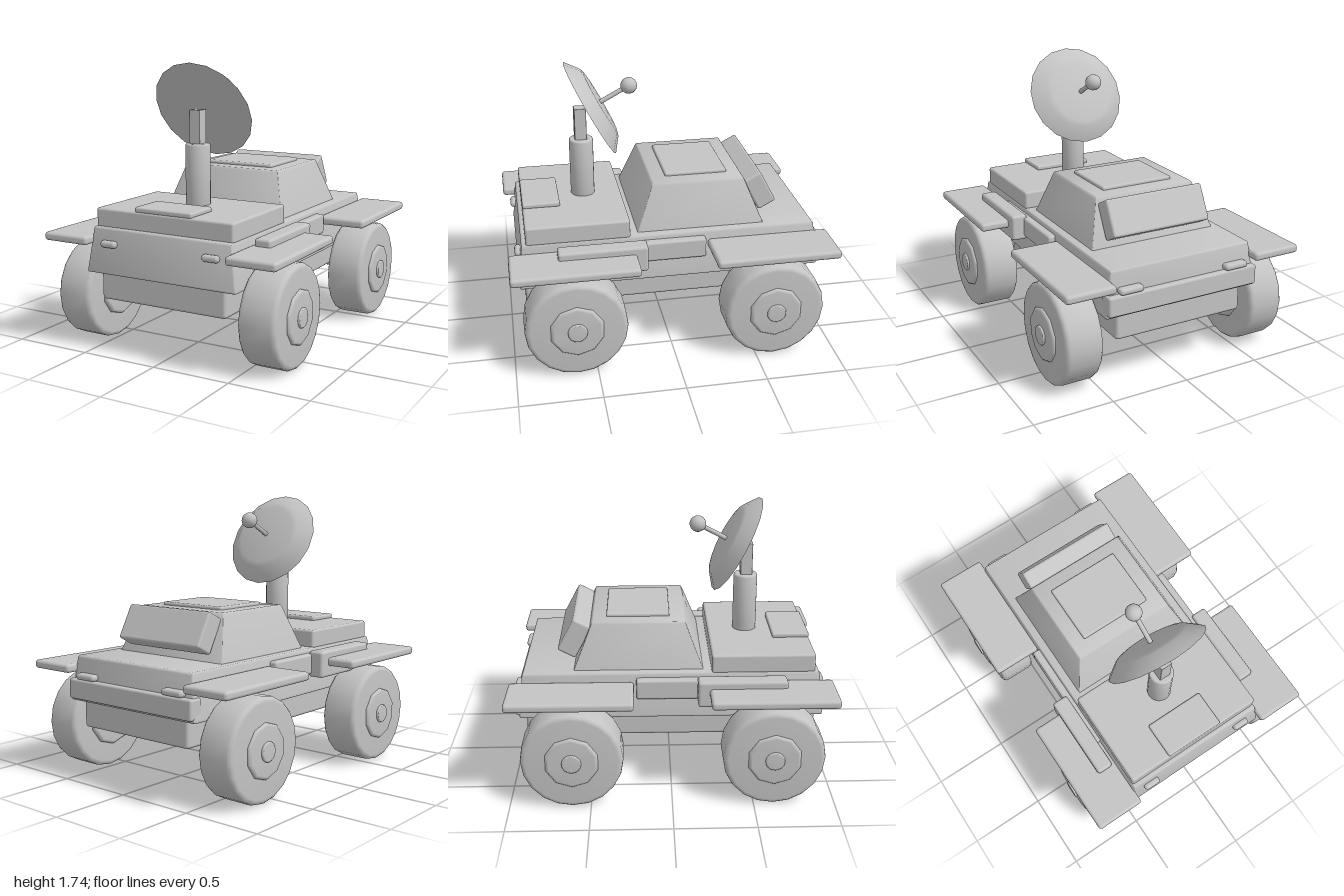
import * as THREE from 'three';
import { toCreasedNormals } from 'three/addons/utils/BufferGeometryUtils.js';
import { RoundedBoxGeometry } from 'three/addons/geometries/RoundedBoxGeometry.js';

const grey = new THREE.MeshStandardMaterial({ color: 0xc4c4c4 });
grey.name = 'plain grey';

export function createModel() {
  const model = new THREE.Group();
  model.name = 'rover';

  const add = (name, geometry, parent = model) => {
    const mesh = new THREE.Mesh(geometry, grey);
    mesh.name = name;
    parent.add(mesh);
    return mesh;
  };

  // Rounded block given by its ranges along x, y and z
  const block = (name, [x0, x1], [y0, y1], [z0, z1], r = 0.015) => {
    const mesh = add(name, new RoundedBoxGeometry(x1 - x0, y1 - y0, z1 - z0, 2, r));
    mesh.position.set((x0 + x1) / 2, (y0 + y1) / 2, (z0 + z1) / 2);
    return mesh;
  };

  // Rounded block whose half width and z range change from bottom to top
  const tapered = (name, [y0, y1], bottom, top, r) => {
    const geo = new RoundedBoxGeometry(2, y1 - y0, 2, 2, r);
    const p = geo.attributes.position;
    for (let i = 0; i < p.count; i++) {
      const t = p.getY(i) / (y1 - y0) + 0.5;
      const [w, back, front] = bottom.map((b, k) => THREE.MathUtils.lerp(b, top[k], t));
      p.setX(i, p.getX(i) * w);
      p.setZ(i, (back + front) / 2 + p.getZ(i) * (front - back) / 2);
    }
    add(name, toCreasedNormals(geo, 0.6)).position.y = (y0 + y1) / 2;
  };

  // Closed round part along y with softened rims
  const roundDisc = (radius, y0, y1, bevel, sides, phase = 0) => {
    const pts = [new THREE.Vector2(0, y0), new THREE.Vector2(radius - bevel - 0.003, y0)];
    for (let side = 0; side < 2; side++) {
      for (let i = 0; i <= 3; i++) {
        const a = -Math.PI / 2 + side * Math.PI / 2 + (i / 3) * Math.PI / 2;
        pts.push(new THREE.Vector2(radius - bevel + Math.cos(a) * bevel,
          (side ? y1 - bevel : y0 + bevel) + Math.sin(a) * bevel));
      }
    }
    pts.push(new THREE.Vector2(radius - bevel - 0.003, y1), new THREE.Vector2(0, y1));
    return toCreasedNormals(new THREE.LatheGeometry(pts, sides, phase), 0.7);
  };

  // Body
  block('underbody', [-0.43, 0.43], [0.33, 0.51], [-0.905, 0.905], 0.02);
  tapered('hull', [0.495, 0.775], [0.512, -0.94, 0.94], [0.472, -0.913, 0.913], 0.015);
  block('frontDeck', [-0.47, 0.47], [0.765, 0.885], [0.25, 0.888]);
  block('frontDeckPlate', [-0.195, 0.195], [0.88, 0.913], [0.652, 0.887], 0.012);
  tapered('cabin', [0.76, 1.058], [0.425, -0.605, 0.205], [0.335, -0.485, 0.09], 0.02);
  block('roofHatch', [-0.24, 0.24], [1.04, 1.078], [-0.398, -0.005], 0.012);
  const pack = block('rearPack', [-0.33, 0.33], [0.83, 1.06], [-0.66, -0.535], 0.015);
  pack.position.set(0, 0.947, -0.596);
  pack.rotation.x = 0.49;
  block('rearBumper', [-0.505, 0.505], [0.51, 0.635], [-0.962, -0.87], 0.015);

  for (const s of [-1, 1]) {
    const span = (a, b) => (s > 0 ? [a, b] : [-b, -a]);
    block('frontLamp', span(0.295, 0.405), [0.66, 0.703], [0.91, 0.955], 0.02);
    block('rearLamp', span(0.28, 0.435), [0.635, 0.675], [-0.97, -0.91], 0.018);
    block('sideLocker', span(0.5, 0.605), [0.6, 0.768], [0.16, 0.705], 0.018);
    block('sidePanel', span(0.44, 0.525), [0.62, 0.747], [-0.215, 0.53]);
    block('frontFender', span(0.472, 0.788), [0.67, 0.723], [0.23, 0.998], 0.02);
    block('rearFender', span(0.472, 0.788), [0.67, 0.723], [-0.998, -0.23], 0.02);
  }

  // Wheels and axles
  for (const z of [0.62, -0.61]) {
    block('axle', [-0.5, 0.5], [0.312, 0.415], [z - 0.05, z + 0.05], 0.01);
    for (const s of [-1, 1]) {
      const wheel = new THREE.Group();
      wheel.name = z > 0 ? 'frontWheel' : 'rearWheel';
      wheel.position.set(0, 0.318, z);
      wheel.rotation.z = -s * Math.PI / 2;
      add('tyre', roundDisc(0.313, 0.513, 0.75, 0.03, 20), wheel);
      add('hub', roundDisc(0.168, 0.485, 0.768, 0.02, 10, Math.PI / 10 * 5), wheel);
      add('hubCap', roundDisc(0.06, 0.74, 0.781, 0.008, 16), wheel);
      model.add(wheel);
    }
  }

  // Mast
  add('mast', roundDisc(0.076, 0.87, 1.257, 0.012, 20)).position.z = 0.49;
  block('mastHead', [-0.037, 0.037], [1.23, 1.46], [0.455, 0.53], 0.004);

  // Dish with its feed, tilted up and to the rear
  const dish = new THREE.Group();
  dish.name = 'dish';
  dish.position.set(0, 1.452, 0.428);
  dish.rotation.x = -1.08;
  const profile = [[0, 0], [0.327, 0], [0.24, 0.068], [0.205, 0.077], [0, 0.077]]
    .map(([r, y]) => new THREE.Vector2(r, y));
  add('reflector', toCreasedNormals(new THREE.LatheGeometry(profile, 18), 0.5), dish);
  add('feedRod', new THREE.CylinderGeometry(0.015, 0.015, 0.2, 10), dish).position.y = 0.16;
  add('feedBall', new THREE.SphereGeometry(0.052, 14, 10), dish).position.y = 0.28;
  model.add(dish);

  return model;
}
